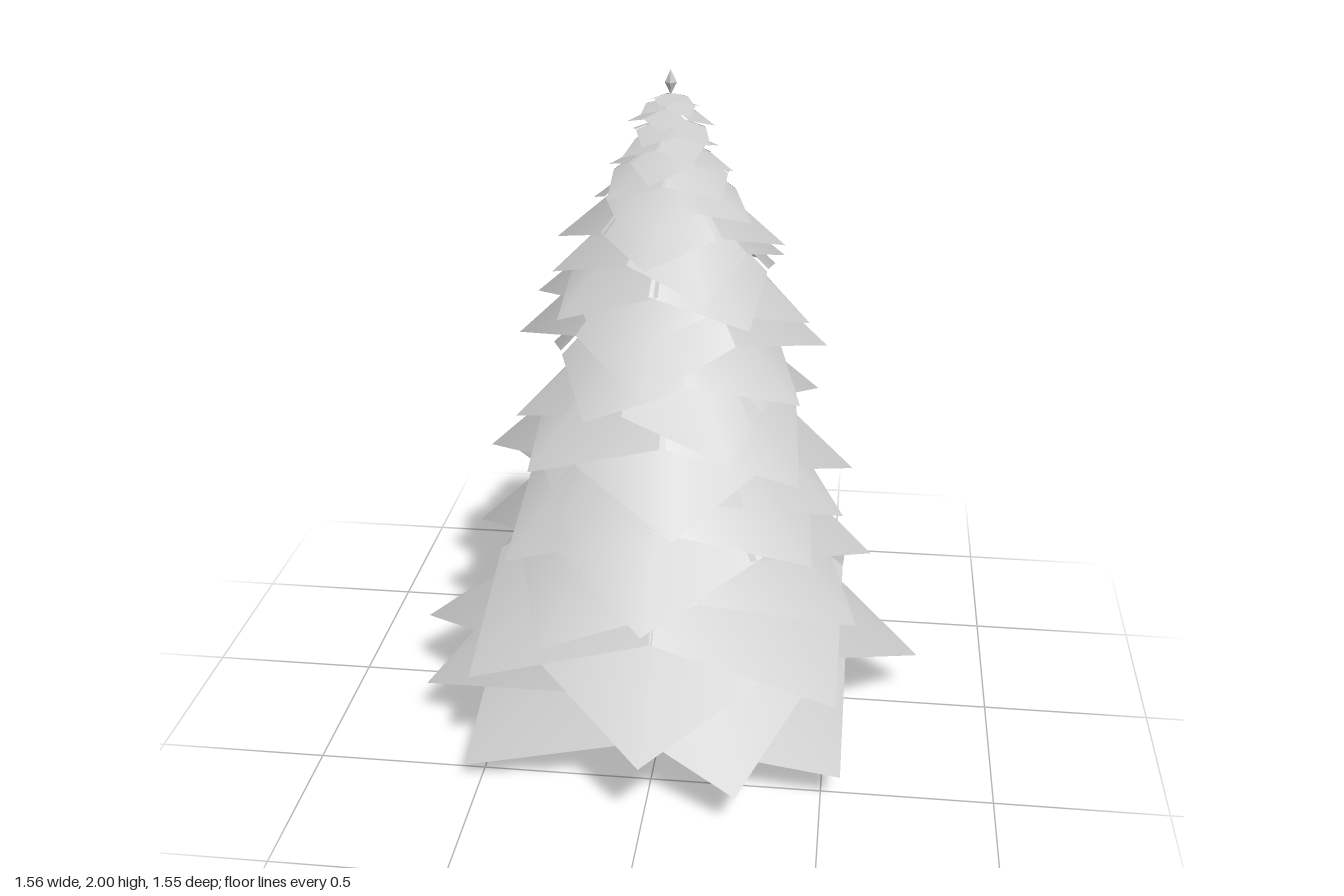
import * as THREE from 'three';
import { mergeGeometries } from 'three/addons/utils/BufferGeometryUtils.js';

const sheet = new THREE.MeshStandardMaterial({ color: 0xcccccc, side: THREE.DoubleSide });

// One drooping leaf: a square corner folded along the ridge from apex to tip.
function leafGeometry(radius, angle, tipY, midY, apexY) {
  const at = (r, degrees, y) => {
    const a = THREE.MathUtils.degToRad(degrees);
    return [r * Math.cos(a), y, r * Math.sin(a)];
  };
  const corners = [
    ...at(0, 0, apexY),
    ...at(radius * Math.SQRT1_2, angle - 45, midY),
    ...at(radius, angle, tipY),
    ...at(radius * Math.SQRT1_2, angle + 45, midY),
  ];
  const g = new THREE.BufferGeometry();
  g.setAttribute('position', new THREE.Float32BufferAttribute(corners, 3));
  g.setIndex([0, 2, 1, 0, 3, 2]);
  g.computeVertexNormals();
  return g;
}

// A tier of leaves, each given as [angle, tip height].
function makeTier(radius, midY, apexY, leaves) {
  const parts = leaves.map(([angle, tipY]) => leafGeometry(radius, angle, tipY, midY, apexY));
  return new THREE.Mesh(mergeGeometries(parts), sheet);
}

export function createModel() {
  const group = new THREE.Group();
  const add = (mesh, name) => {
    mesh.name = name;
    group.add(mesh);
  };

  // Wide, uneven skirt tiers
  const skirt = [
    [0.785, 0.17, 0.47, [[45, 0.09], [134, 0.05], [227, 0.1], [313, 0]]],
    [0.775, 0.28, 0.66, [[70, 0.12], [161, 0.12]]],
    [0.78, 0.36, 0.76, [[-3, 0.15], [90, 0.23], [179, 0.22], [262, 0.25]]],
    [0.755, 0.48, 0.86, [[45, 0.31], [134, 0.34], [224, 0.33], [316, 0.3]]],
  ];
  skirt.forEach(([r, mid, apex, leaves], i) => add(makeTier(r, mid, apex, leaves), `skirtTier${i + 1}`));

  // Regular tiers: tip height, radius, turn, rise per radius
  const tiers = [
    [0.45, 0.66, 28, 0.85],
    [0.55, 0.62, 4, 0.95],
    [0.67, 0.6, 44, 0.9],
    [0.74, 0.56, 20, 0.9],
    [0.82, 0.55, -4, 0.95],
    [0.92, 0.53, 42, 0.9],
    [1.0, 0.47, 65, 0.9],
    [1.1, 0.46, 28, 0.9],
    [1.2, 0.46, 4, 0.95],
    [1.3, 0.42, 15, 0.9],
    [1.36, 0.4, 48, 0.9],
    [1.44, 0.35, 68, 0.85],
    [1.51, 0.33, 3, 0.85],
    [1.6, 0.27, 25, 0.75],
    [1.67, 0.23, 45, 0.7],
    [1.72, 0.18, 10, 0.6],
    [1.77, 0.15, 60, 0.5],
    [1.81, 0.14, 30, 0.45],
    [1.85, 0.125, 5, 0.4],
    [1.885, 0.1, 50, 0.4],
    [1.91, 0.07, 20, 0.35],
  ];
  tiers.forEach(([y, r, turn, rise], i) => {
    const leaves = [0, 90, 180, 270].map((a, k) => [a + turn + 3 * Math.sin(i * 2 + k * 3), y + 0.03 * r * Math.sin(i + k * 2)]);
    add(makeTier(r, y + 0.18 * r, y + rise * r, leaves), `tier${i + 1}`);
  });

  // Small pointed finial
  const finial = new THREE.OctahedronGeometry(1);
  finial.scale(0.017, 0.035, 0.017);
  finial.translate(0, 1.965, 0);
  add(new THREE.Mesh(finial, sheet), 'finial');

  return group;
}
